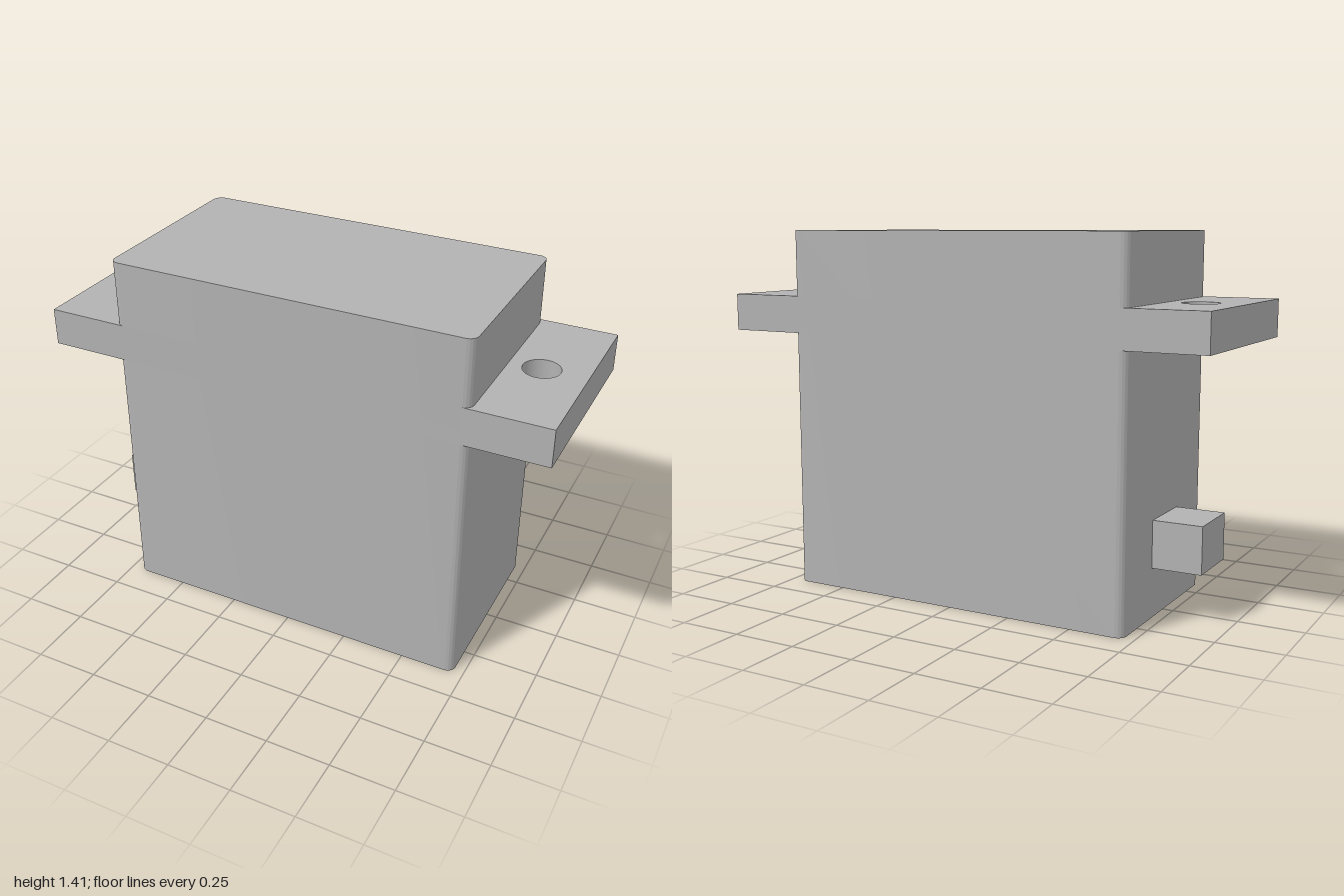
import * as THREE from 'three';
import { toCreasedNormals } from 'three/addons/utils/BufferGeometryUtils.js';

const HALF_DEPTH = 0.38;

// Rectangle outline centred on the origin, with optional rounded corners
function rectShape(hx, hy, r = 0) {
  const s = new THREE.Shape();
  if (r === 0) {
    s.moveTo(-hx, -hy).lineTo(hx, -hy).lineTo(hx, hy).lineTo(-hx, hy);
  } else {
    s.absarc(hx - r, -hy + r, r, -Math.PI / 2, 0);
    s.absarc(hx - r, hy - r, r, 0, Math.PI / 2);
    s.absarc(-hx + r, hy - r, r, Math.PI / 2, Math.PI);
    s.absarc(-hx + r, -hy + r, r, Math.PI, Math.PI * 1.5);
  }
  s.closePath();
  return s;
}

// Extrude an outline upwards from y0 to y1
function slab(shape, y0, y1) {
  const g = new THREE.ExtrudeGeometry(shape, { depth: y1 - y0, bevelEnabled: false, curveSegments: 16 });
  g.rotateX(-Math.PI / 2).translate(0, y0, 0);
  return toCreasedNormals(g, 0.6);
}

export function createModel() {
  const group = new THREE.Group();
  const grey = new THREE.MeshStandardMaterial({ color: 0xb2b2b2 });
  grey.name = 'grey plastic';

  const add = (name, geometry) => {
    const mesh = new THREE.Mesh(geometry, grey);
    mesh.name = name;
    group.add(mesh);
    return mesh;
  };

  // Main case with rounded upright edges
  add('case', slab(rectShape(0.71, HALF_DEPTH, 0.035), 0, 1.41));

  // Mounting plate through the case, with a screw hole in each ear
  const plate = rectShape(1, HALF_DEPTH);
  for (const side of [-1, 1]) {
    plate.holes.push(new THREE.Path().absarc(side * 0.83, 0, 0.07, 0, Math.PI * 2, true));
  }
  add('mountingPlate', slab(plate, 1.01, 1.155));

  // Cable outlet on the right end
  add('cableOutlet', new THREE.BoxGeometry(0.21, 0.18, 0.24)).position.set(-0.795, 0.28, 0);

  return group;
}
